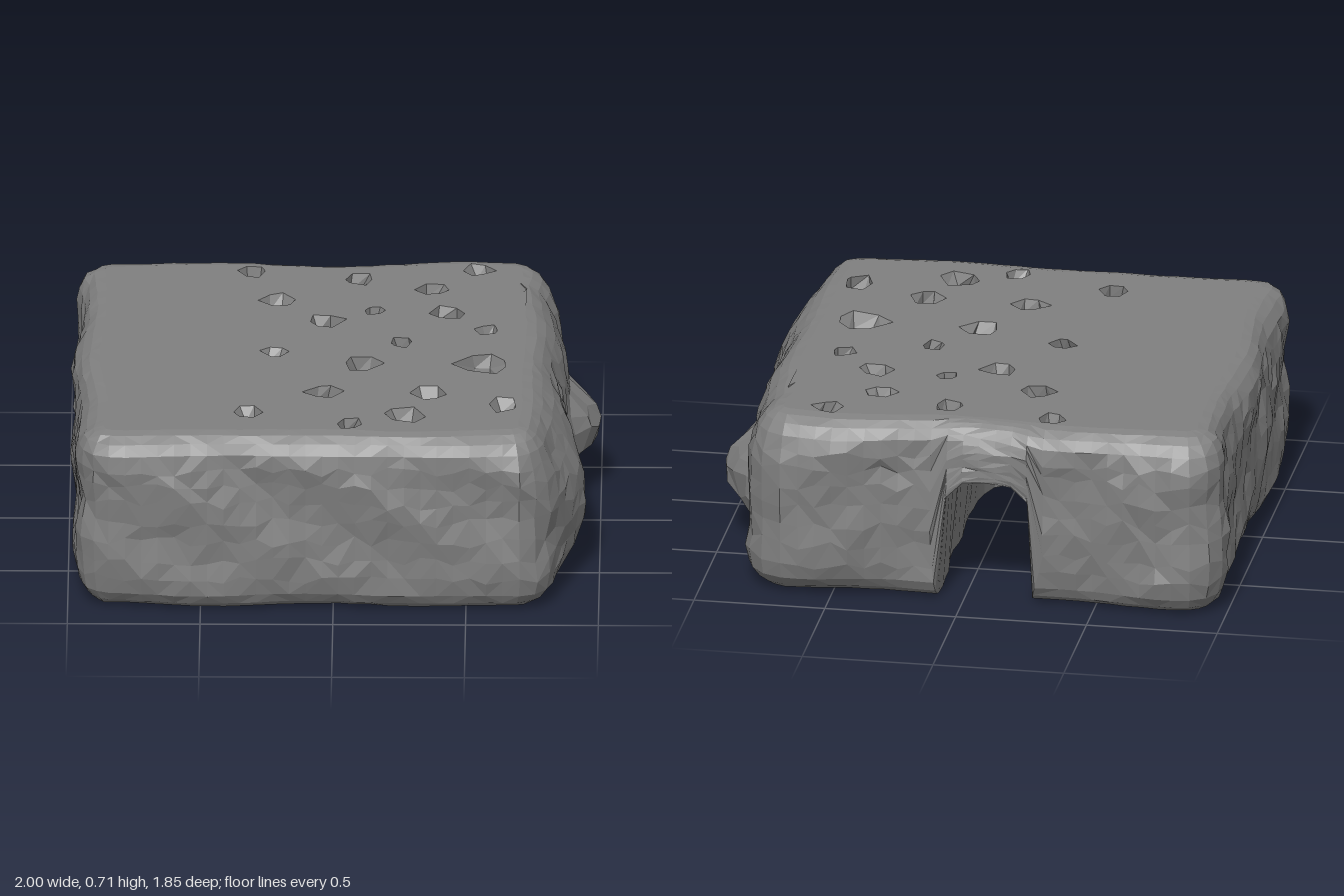
import * as THREE from 'three';

const H = 0.71;
const material = new THREE.MeshStandardMaterial({ color: 0x808080, flatShading: true });

let seed = 7;
const rand = (a) => {
  seed = (seed * 16807) % 2147483647;
  return a * ((2 * seed) / 2147483647 - 1);
};

function makeMesh(name, geometry) {
  geometry.computeVertexNormals();
  const mesh = new THREE.Mesh(geometry, material);
  mesh.name = name;
  return mesh;
}

// Skin over a list of rings, each a list of Vector3
function loft(name, rings, closed) {
  const n = rings[0].length;
  const index = [];
  for (let j = 0; j < rings.length - 1; j++) {
    for (let i = 0; i < (closed ? n : n - 1); i++) {
      const a = j * n + i, b = j * n + ((i + 1) % n);
      if ((i * 5 + j * 3) % 4 < 2) index.push(a, a + n, b, b, a + n, b + n);
      else index.push(a, a + n, b + n, a, b + n, b);
    }
  }
  const g = new THREE.BufferGeometry().setFromPoints(rings.flat());
  g.setIndex(index);
  return makeMesh(name, g.toNonIndexed());
}

// Flat sheet with holes, facing up (dir 1) or down (dir -1)
function sheet(name, outline, holes, y, dir) {
  const to2 = (p) => new THREE.Vector2(p.x, -dir * p.z);
  const shape = new THREE.Shape(outline.map(to2));
  shape.holes = holes.map((h) => new THREE.Path(h.map(to2)));
  const g = new THREE.ShapeGeometry(shape);
  g.rotateX((-dir * Math.PI) / 2);
  g.translate(0, y, 0);
  return makeMesh(name, g);
}

// Irregular hexagon around a hole's axis
function holeRing(x, y, z, r) {
  const ring = [];
  for (let i = 0; i < 6; i++) {
    const a = (i / 6) * Math.PI * 2 + rand(0.25);
    const q = r * (1 + rand(0.25));
    ring.push(new THREE.Vector3(x + q * Math.cos(a), y, z + q * Math.sin(a)));
  }
  return ring;
}

const gauss = (d, w) => Math.exp(-(d * d) / (w * w));
const plateau = (d, w) => Math.exp(-((d / w) ** 4));

// Outward swelling of the side walls
function swell(x, y, z) {
  let d = 0.01 * Math.sin(7 * x + 5 * z + 3 * y) + 0.008 * Math.sin(9 * x - 8 * z + 16 * y);
  if (x > 0.65) {
    d += 0.045 * plateau(z - 0.1, 0.78) * plateau(y - 0.32, 0.3);
    d += 0.1 * plateau(z + 0.3, 0.18) * plateau(y - 0.28, 0.11);
    d += 0.05 * gauss(z + 0.3, 0.2) * plateau(y - 0.35, 0.26);
    d += 0.09 * gauss(z - 0.48, 0.22) * plateau(y - 0.32, 0.27);
  }
  if (z < -0.65) d += (0.06 * gauss(x - 0.55, 0.25) + 0.04 * gauss(x + 0.75, 0.25)) * plateau(y - 0.35, 0.4);
  return d;
}

export function createModel() {
  const group = new THREE.Group();
  group.name = 'stoneSlab';

  // Plan of the slab: a rounded rectangle
  const r = 0.14;
  const [x0, x1, z0, z1] = [-0.97 + r, 0.805 - r, -0.85 + r, 0.895 - r];
  const plan = new THREE.Shape();
  const PI = Math.PI;
  plan.absarc(x1, z1, r, 0, PI / 2);
  plan.absarc(x0, z1, r, PI / 2, PI);
  plan.absarc(x0, z0, r, PI, 1.5 * PI);
  plan.absarc(x1, z0, r, 1.5 * PI, 2 * PI);
  plan.closePath();
  const columns = plan.getSpacedPoints(110);
  columns.pop();

  // Columns of the back wall that stand above the tunnel mouth
  const mouth = columns.map((p, i) => i).filter((i) => columns[i].y < -0.7 && Math.abs(columns[i].x + 0.07) < 0.24);
  const base = columns.map(() => 0);
  mouth.forEach((c, k) => {
    const u = (2 * k) / (mouth.length - 1) - 1;
    base[c] = 0.49 * Math.sqrt(Math.max(0, 1 - u ** 4));
  });

  // The mouth narrows towards the ground
  const pull = columns.map(() => 0);
  pull[mouth[0]] = 0.055;
  pull[mouth[mouth.length - 1]] = -0.02;

  // Rough side walls with rounded rims
  const levels = [0, 0.012, 0.045, 0.1, 0.19, 0.3, 0.41, 0.52, 0.63, 0.73, 0.82, 0.9, 0.955, 0.988, 1];
  const wall = levels.map((f, j) => columns.map((p, i) => {
    const inner = j > 3 && j < levels.length - 4;
    const y = base[i] + (H - base[i]) * f + (inner ? rand(0.02) * (1 - base[i] / H) : 0);
    const edge = Math.max(0, 1 - Math.min(y, H - y) / 0.12);
    const inset = 0.1 * (1 - Math.sqrt(Math.max(0, 1 - edge * edge)));
    const nx = p.x - THREE.MathUtils.clamp(p.x, x0, x1);
    const nz = p.y - THREE.MathUtils.clamp(p.y, z0, z1);
    const len = Math.hypot(nx, nz) || 1;
    const d = swell(p.x, y, p.y) - inset + rand(inner && !base[i] ? 0.008 : 0.004);
    const px = p.x + pull[i] * Math.max(0, 1 - y / 0.2);
    return new THREE.Vector3(px + (nx / len) * d, y, p.y + (nz / len) * d);
  }));
  group.add(loft('sideWalls', wall, true));

  // Vaulted tunnel running in from the back, open below
  const start = mouth.map((i) => wall[0][i]);
  const steps = 16;
  const vault = [];
  for (let j = 0; j <= steps; j++) {
    const t = j / steps;
    const w = Math.sqrt(1 - t ** 8);
    const rough = j && j < steps ? 1 : 0;
    vault.push(start.map((p, k) => new THREE.Vector3(
      -0.07 + 0.06 * t + (p.x + 0.07) * w * (1 - 0.15 * t) + rough * rand(0.008),
      k === 0 || k === start.length - 1 ? 0 : p.y * w * (1 - 0.2 * t) * (1 + rough * rand(0.03)),
      THREE.MathUtils.lerp(p.z, 0.4, t)
    )));
  }
  group.add(loft('tunnelVault', [...vault].reverse(), false));

  // Holes through the slab: x, z, radius, bottom x, bottom z
  const through = [
    [0.54, -0.73, 0.055, 0.54, -0.7], [0.67, -0.55, 0.06, 0.64, -0.55], [0.36, -0.54, 0.06, 0.36, -0.54],
    [0.43, -0.32, 0.065, 0.43, -0.32], [0.57, -0.16, 0.045, 0.57, -0.16], [0.25, -0.04, 0.05, 0.27, -0.04],
    [0.56, 0.15, 0.1, 0.56, 0.15], [0.64, 0.55, 0.065, 0.64, 0.55], [0.36, 0.44, 0.065, 0.36, 0.44],
    [0.26, 0.65, 0.075, 0.26, 0.65], [0.06, 0.73, 0.055, 0.04, 0.71], [-0.04, 0.43, 0.065, -0.04, 0.52],
    [-0.32, 0.63, 0.06, -0.34, 0.63], [-0.22, 0.06, 0.055, -0.4, 0.27], [-0.22, -0.44, 0.07, -0.38, -0.2],
  ];
  const topHoles = [], bottomHoles = [];
  const profile = [[1, 1], [0.93, 0.68], [0.82, 0.45], [0.5, 0.26], [0.22, 0.4], [0.08, 0.68], [0, 1]];
  through.forEach(([x, z, R, bx, bz]) => {
    const lean = R > 0.072 ? 0 : 0.045;
    const a = rand(PI);
    const rings = profile.map(([f, s]) => {
      const k = lean * Math.sin(f * PI);
      return holeRing(
        THREE.MathUtils.lerp(bx, x, f) + k * Math.cos(a), f * H,
        THREE.MathUtils.lerp(bz, z, f) + k * Math.sin(a), R * s
      );
    });
    topHoles.push(rings[0]);
    bottomHoles.push(rings[rings.length - 1]);
    group.add(loft('throughHole', rings, true));
  });

  // Closed pits above the tunnel
  [[-0.32, -0.71, 0.055], [0.08, -0.64, 0.06], [0.14, -0.34, 0.04], [-0.04, -0.24, 0.07], [0.1, 0.15, 0.075]]
    .forEach(([x, z, R]) => {
      const rings = [[H, 1], [H - 0.06, 0.68], [H - 0.14, 0.4], [H - 0.19, 0.01]]
        .map(([y, s]) => holeRing(x, y, z, R * s));
      topHoles.push(rings[0]);
      group.add(loft('pit', rings, true));
    });

  // Top and bottom faces; the bottom outline follows the tunnel
  group.add(sheet('topFace', wall[wall.length - 1], topHoles, H, 1));
  const n = columns.length, first = mouth[0], last = mouth[mouth.length - 1];
  const outline = [];
  for (let i = last; i <= first + n; i++) outline.push(wall[0][i % n]);
  for (let j = 1; j <= steps; j++) outline.push(vault[j][0]);
  for (let j = steps - 1; j > 0; j--) outline.push(vault[j][start.length - 1]);
  group.add(sheet('bottomFace', outline, bottomHoles, 0, -1));

  return group;
}
